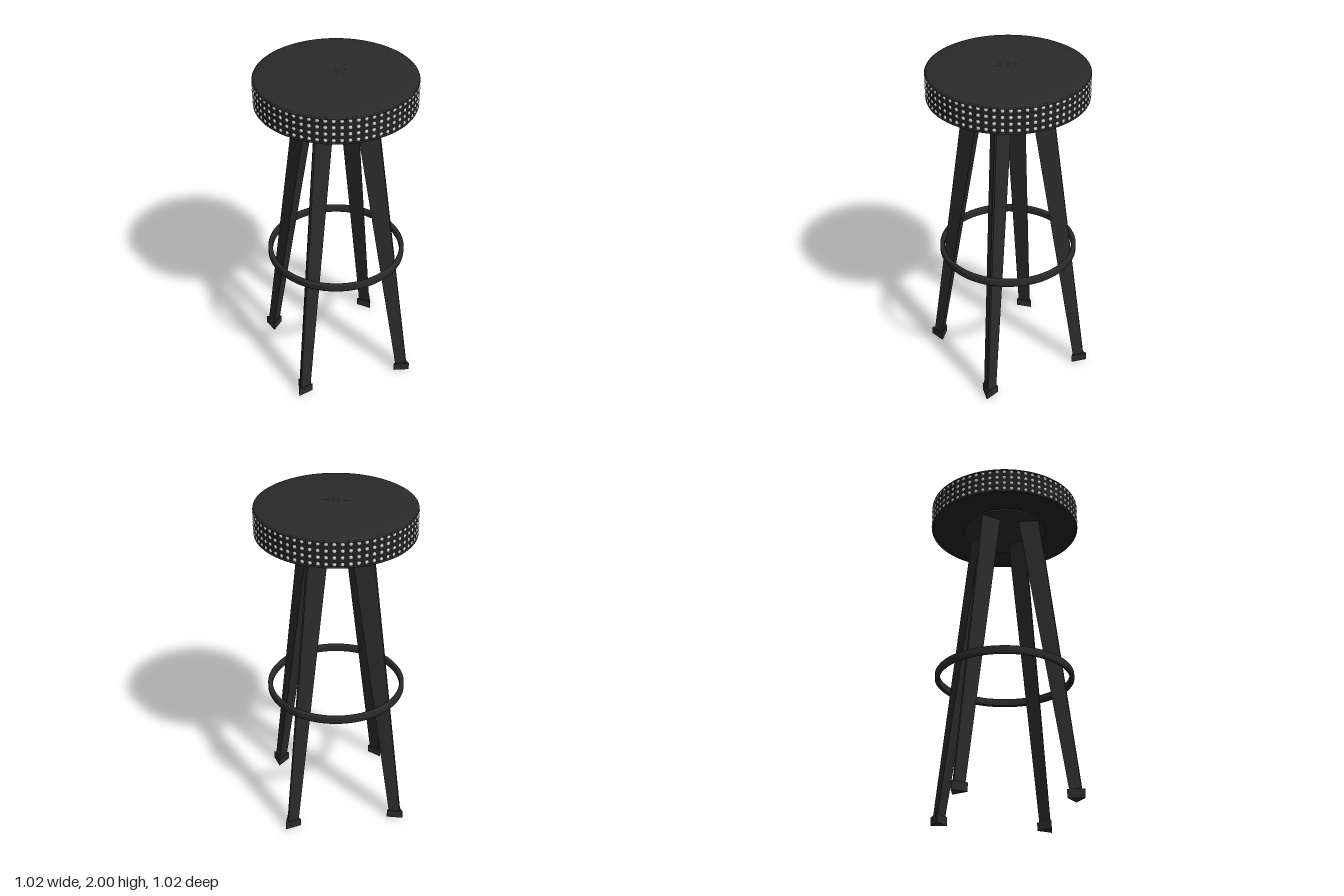
import * as THREE from 'three';

const black = new THREE.MeshStandardMaterial({ color: 0x2a2a2a });
const band = new THREE.MeshStandardMaterial({ color: 0x222222 });
const metal = new THREE.MeshStandardMaterial({ color: 0xcccccc });

function add(parent, name, geometry, material) {
  const mesh = new THREE.Mesh(geometry, material);
  mesh.name = name;
  parent.add(mesh);
  return mesh;
}

const lathe = (points, segments = 96) =>
  new THREE.LatheGeometry(points.map(([r, y]) => new THREE.Vector2(r, y)), segments);

// Triangular section with a slightly blunted ridge pointing outward along +x
const section = (inner, outer, half, y, blunt) => [
  [inner, y, half], [outer, y, blunt], [outer, y, -blunt], [inner, y, -half],
];

// Flat-sided solid between two four-cornered sections
function loft(bottom, top) {
  const positions = [];
  const quad = (a, b, c, d) => positions.push(...a, ...b, ...c, ...a, ...c, ...d);
  for (let i = 0; i < 4; i++) {
    const j = (i + 1) % 4;
    quad(bottom[i], bottom[j], top[j], top[i]);
  }
  quad(...top);
  quad(...[...bottom].reverse());
  const geometry = new THREE.BufferGeometry();
  geometry.setAttribute('position', new THREE.Float32BufferAttribute(positions, 3));
  geometry.computeVertexNormals();
  return geometry;
}

// Softly domed cushion with shallow wrinkles radiating from the centre
function cushionGeometry() {
  const points = [];
  for (let i = 0; i <= 20; i++) {
    const t = 1 - i / 20;
    points.push([0.44 * t, 1.972 + 0.024 * (1 - t ** 4)]);
  }
  const geometry = lathe([[0.446, 1.95], [0.452, 1.958], [0.449, 1.967], ...points]);
  const p = geometry.attributes.position;
  for (let i = 0; i < p.count; i++) {
    const x = p.getX(i), z = p.getZ(i);
    const r = Math.hypot(x, z), a = Math.atan2(z, x);
    const fade = Math.max(0, 1 - r / 0.43) * Math.min(1, r / 0.05);
    const wave = Math.sin(a * 9 + 12 * r) + 0.6 * Math.sin(a * 17 - 20 * r);
    p.setY(i, p.getY(i) + 0.0018 * fade * wave);
  }
  geometry.computeVertexNormals();
  return geometry;
}

export function createModel() {
  const stool = new THREE.Group();
  stool.name = 'barStool';

  // Seat
  const seat = new THREE.Group();
  seat.name = 'seat';
  stool.add(seat);
  add(seat, 'cushion', cushionGeometry(), black);
  add(seat, 'seatBand', new THREE.CylinderGeometry(0.45, 0.45, 0.14, 96), band).position.y = 1.885;
  for (const y of [1.815, 1.96]) {
    const piping = add(seat, 'piping', new THREE.TorusGeometry(0.449, 0.006, 8, 96), black);
    piping.rotation.x = Math.PI / 2;
    piping.position.y = y;
  }
  add(seat, 'mountingPlate', new THREE.CylinderGeometry(0.25, 0.255, 0.014, 64), black).position.y = 1.809;

  // Four rows of studs around the band
  const studGeometry = new THREE.SphereGeometry(0.0115, 10, 5, 0, Math.PI * 2, 0, Math.PI / 2);
  studGeometry.scale(1, 0.75, 1).rotateZ(-Math.PI / 2).translate(0.4485, 0, 0);
  const studs = new THREE.Group();
  studs.name = 'studs';
  seat.add(studs);
  const perRow = 66;
  for (const y of [1.832, 1.87, 1.908, 1.946]) {
    for (let i = 0; i < perRow; i++) {
      const stud = add(studs, 'stud', studGeometry, metal);
      stud.position.y = y;
      stud.rotation.y = (i / perRow) * Math.PI * 2;
    }
  }

  // Four splayed, tapering legs with pointed feet
  const legGeometry = loft(
    section(0.437, 0.494, 0.038, 0.03, 0.004),
    section(0.14, 0.25, 0.06, 1.81, 0.006),
  );
  const footGeometry = loft(
    section(0.428, 0.511, 0.049, 0, 0.001),
    section(0.428, 0.511, 0.049, 0.05, 0.001),
  );
  for (let i = 0; i < 4; i++) {
    const leg = new THREE.Group();
    leg.name = 'legAssembly';
    leg.rotation.y = (i * Math.PI) / 2;
    add(leg, 'leg', legGeometry, black);
    add(leg, 'foot', footGeometry, black);
    stool.add(leg);
  }

  // Flat-banded footrest ring, closed profile
  const ring = lathe([
    [0.383, 0.79], [0.402, 0.787], [0.408, 0.794], [0.408, 0.826],
    [0.402, 0.834], [0.386, 0.834], [0.381, 0.826], [0.381, 0.796], [0.383, 0.79],
  ], 80);
  add(stool, 'footrestRing', ring, black);

  return stool;
}
